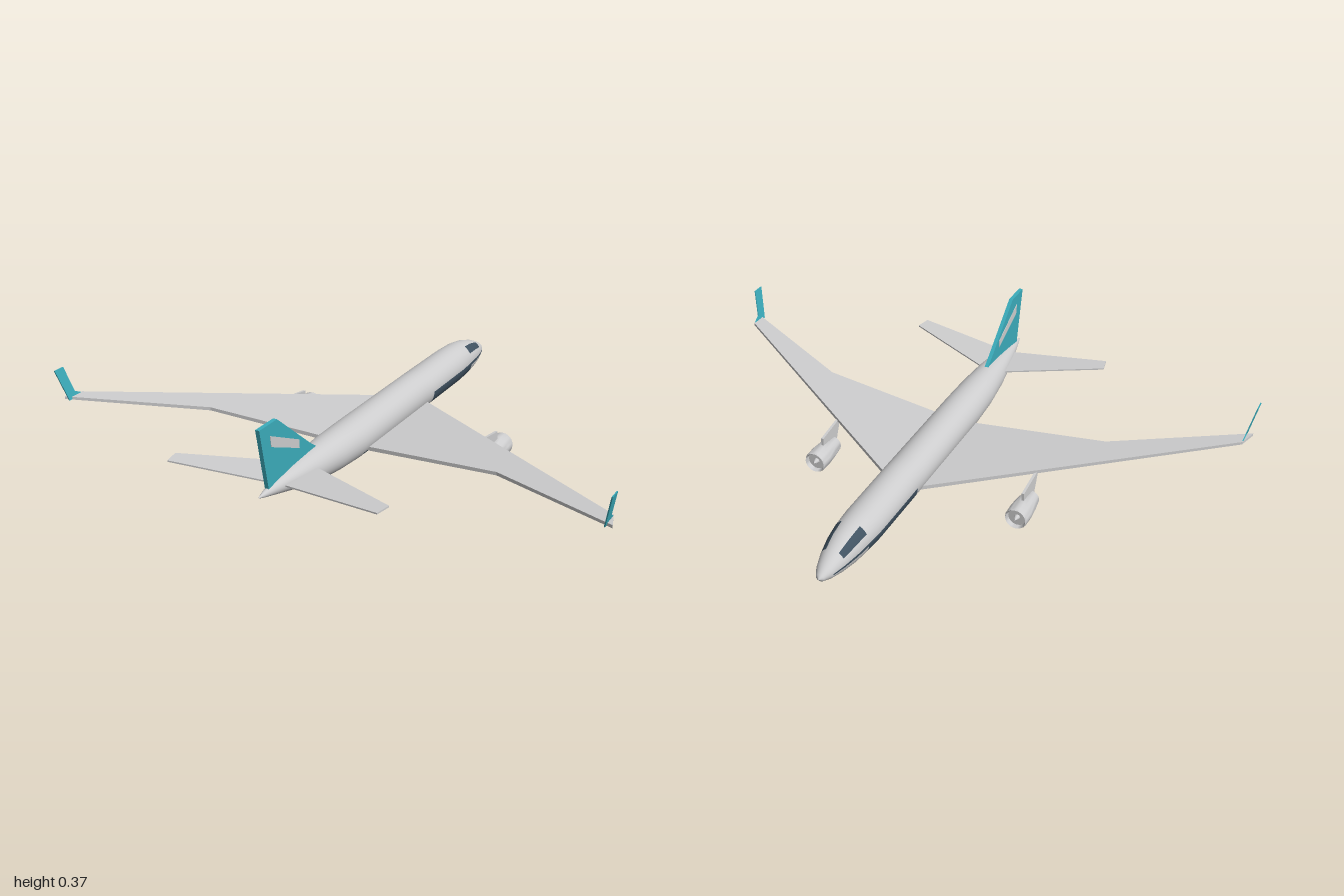
import * as THREE from 'three';
import { toCreasedNormals } from 'three/addons/utils/BufferGeometryUtils.js';

const paint = (name, color) => Object.assign(new THREE.MeshStandardMaterial({ color }), { name });

// Flat outline of [x, z] points, given thickness upward from y = 0
function flatPlate(points, thickness) {
  const shape = new THREE.Shape(points.map(([x, z]) => new THREE.Vector2(x, -z)));
  return new THREE.ExtrudeGeometry(shape, { depth: thickness, bevelEnabled: false })
    .rotateX(-Math.PI / 2).translate(0, -thickness / 2, 0);
}

// Upright outline of [z, y] points, given thickness across x
function uprightPlate(points, thickness) {
  const shape = new THREE.Shape(points.map(([z, y]) => new THREE.Vector2(-z, y)));
  return new THREE.ExtrudeGeometry(shape, { depth: thickness, bevelEnabled: false })
    .rotateY(Math.PI / 2).translate(-thickness / 2, 0, 0);
}

// Move every vertex by a rule
function reshape(geometry, rule) {
  const p = geometry.attributes.position;
  const v = new THREE.Vector3();
  for (let i = 0; i < p.count; i++) {
    rule(v.fromBufferAttribute(p, i));
    p.setXYZ(i, v.x, v.y, v.z);
  }
  geometry.computeVertexNormals();
  return geometry;
}

// Fuselage lofted from elliptical sections; panels are painted by face
function fuselageGeometry() {
  // z, half width, bottom, top
  const sections = [
    [-0.79, 0.0005, 0.119, 0.121], [-0.78, 0.014, 0.108, 0.133], [-0.75, 0.03, 0.096, 0.151],
    [-0.70, 0.045, 0.083, 0.173], [-0.64, 0.057, 0.073, 0.191], [-0.58, 0.064, 0.068, 0.2],
    [-0.50, 0.069, 0.065, 0.203], [-0.25, 0.07, 0.065, 0.204], [-0.19, 0.07, 0.065, 0.204],
    [0.25, 0.07, 0.065, 0.203], [0.38, 0.066, 0.073, 0.202], [0.50, 0.055, 0.086, 0.199],
    [0.60, 0.041, 0.108, 0.191], [0.70, 0.022, 0.133, 0.178], [0.76, 0.009, 0.148, 0.167],
    [0.79, 0.0005, 0.157, 0.159],
  ];
  const sides = 36;
  const positions = [];
  for (const [z, w, bottom, top] of sections) {
    for (let j = 0; j < sides; j++) {
      const a = (j / sides) * Math.PI * 2;
      positions.push(w * Math.cos(a), (top + bottom) / 2 + ((top - bottom) / 2) * Math.sin(a), z);
    }
  }
  const faces = [[], [], []];
  for (let i = 0; i < sections.length - 1; i++) {
    const z = (sections[i][0] + sections[i + 1][0]) / 2;
    for (let j = 0; j < sides; j++) {
      const a = ((j + 0.5) / sides) * Math.PI * 2;
      const angle = THREE.MathUtils.radToDeg(Math.asin(Math.sin(a)));
      const between = (lo, hi, from, to) => angle > lo && angle < hi && z > from && z < to;
      const dark = between(30, 60, -0.7, -0.58) || between(-40, 0, -0.58, -0.25)
        || between(-10, 0, -0.75, -0.58) || between(-50, -30, -0.19, 0.25);
      const k = dark ? 1 : angle < -50 ? 2 : 0;
      const a0 = i * sides + j, a1 = i * sides + ((j + 1) % sides);
      faces[k].push(a0, a1, a0 + sides, a1, a1 + sides, a0 + sides);
    }
  }
  const g = new THREE.BufferGeometry();
  g.setAttribute('position', new THREE.Float32BufferAttribute(positions, 3));
  g.setIndex(faces.flat());
  let start = 0;
  faces.forEach((f, k) => { g.addGroup(start, f.length, k); start += f.length; });
  g.computeVertexNormals();
  return g;
}

export function createModel() {
  const grey = paint('light grey', 0xcdcdce);
  const belly = paint('belly grey', 0xb2b9c1);
  const navy = paint('dark navy', 0x405261);
  const teal = paint('teal', 0x3bacbb);

  const model = new THREE.Group();
  model.name = 'airliner';
  const add = (name, geometry, material) => {
    const mesh = new THREE.Mesh(geometry, material);
    mesh.name = name;
    model.add(mesh);
    return mesh;
  };

  add('fuselage', fuselageGeometry(), [grey, navy, belly]);

  // Tail fin with a pale slanted band on each face
  add('tailFin', uprightPlate(
    [[0.46, 0.195], [0.5, 0.224], [0.685, 0.376], [0.782, 0.376], [0.742, 0.168], [0.6, 0.17]], 0.014), teal);
  add('finBands', uprightPlate(
    [[0.565, 0.233], [0.565, 0.262], [0.727, 0.338], [0.722, 0.3]], 0.017), grey);

  // Engine nacelle profile from tail to intake, with a recessed fan and spinner
  const nacelle = [[0, 0.018], [0.03, 0.018], [0.036, 0.06], [0.04, 0.11], [0.039, 0.148],
    [0.036, 0.155], [0.033, 0.15], [0.032, 0.138], [0.01, 0.138], [0.006, 0.152], [0, 0.16]];
  const engine = toCreasedNormals(
    new THREE.LatheGeometry(nacelle.map(([r, y]) => new THREE.Vector2(r, y)), 24).rotateX(-Math.PI / 2), 0.6);

  for (const s of [1, -1]) {
    const side = s > 0 ? 'left' : 'right';
    const mirrored = (points) => points.map(([x, z]) => [s * x, z]);

    // Swept wing, rising and thinning toward the tip
    const wing = flatPlate(mirrored(
      [[0, -0.248], [0.975, 0.42], [0.995, 0.487], [0.54, 0.266], [0, 0.222]]), 0.014);
    add(side + 'Wing', reshape(wing, (v) => {
      const x = Math.abs(v.x);
      v.y = v.y * (1 - 0.3 * x) + 0.1 + 0.073 * x;
    }), grey);

    // Winglet leaning outward
    const winglet = uprightPlate(
      [[0.422, 0.174], [0.455, 0.19], [0.478, 0.283], [0.522, 0.283], [0.49, 0.167]], 0.004);
    add(side + 'Winglet', reshape(winglet, (v) => {
      v.x += s * (0.973 + (v.y - 0.17) * 0.23);
    }), teal);

    // Tailplane
    const tailplane = flatPlate(mirrored(
      [[0, 0.507], [0.382, 0.68], [0.372, 0.736], [0, 0.675]]), 0.005);
    add(side + 'Tailplane', reshape(tailplane, (v) => {
      v.y += 0.155 + 0.052 * Math.abs(v.x);
    }), grey);

    // Engine and its pylon
    add(side + 'Engine', engine, grey).position.set(s * 0.381, 0.042, 0);
    add(side + 'Pylon', uprightPlate(
      [[0.03, 0.128], [0.0, 0.122], [-0.095, 0.108], [-0.095, 0.075], [-0.03, 0.046], [-0.004, 0.046]], 0.009),
    grey).position.x = s * 0.381;
  }
  return model;
}
